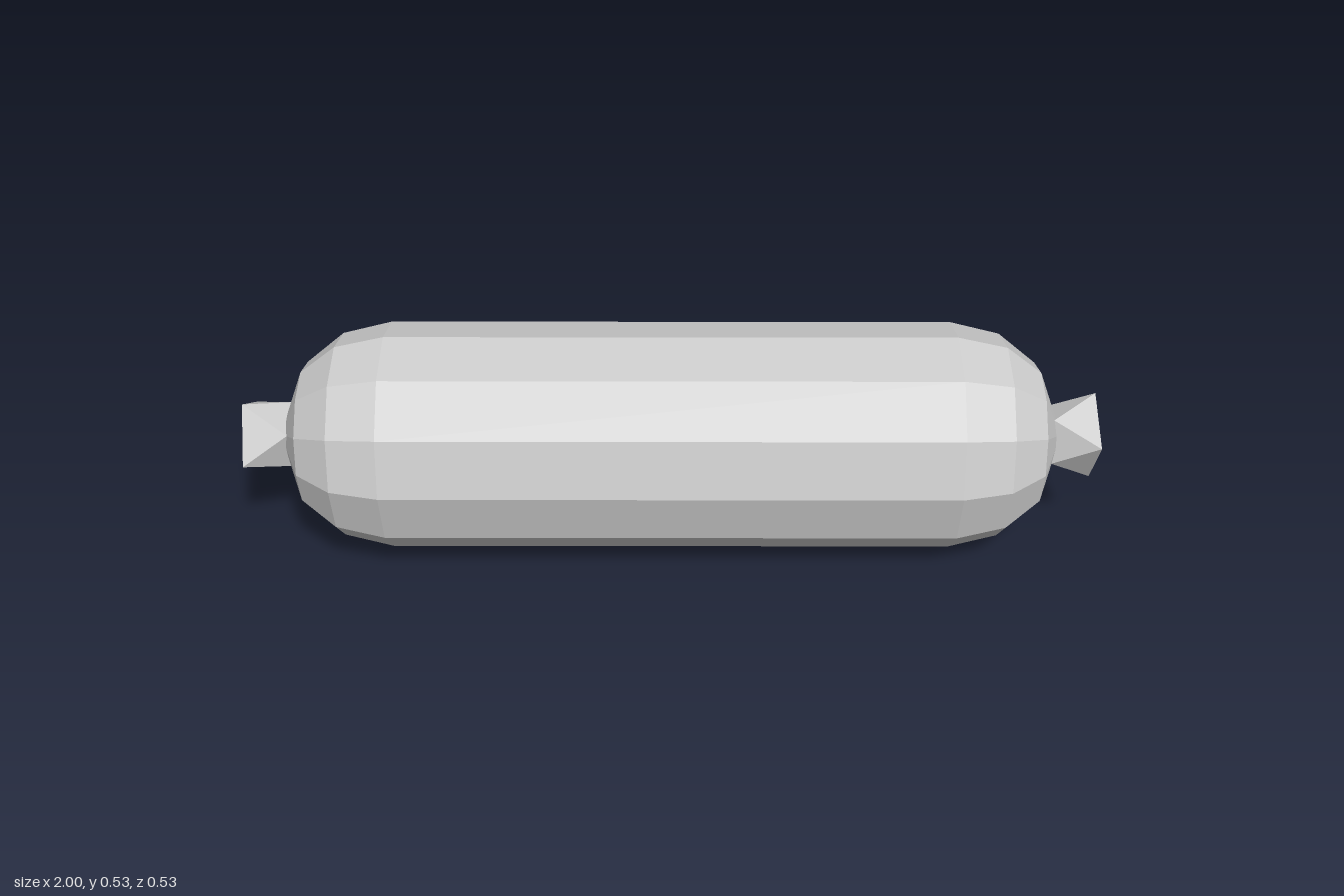
import * as THREE from 'three';

const material = new THREE.MeshStandardMaterial({ color: 0xcccccc, flatShading: true });
const CENTRE_Y = 0.267;

// Twelve-sided sausage body: half profile [distance along x, radius], mirrored
function makeBody() {
  const half = [[0.66, 0.267], [0.775, 0.24], [0.86, 0.172], [0.926, 0]];
  const points = [
    ...half.map(([x, r]) => new THREE.Vector2(r, -x)).reverse(),
    ...half.map(([x, r]) => new THREE.Vector2(r, x)),
  ];
  const body = new THREE.Mesh(new THREE.LatheGeometry(points, 12), material);
  body.rotation.z = -Math.PI / 2;
  body.name = 'sausageBody';
  return body;
}

// Knotted end: a small square neck twisting out to a larger square with a hollow tip
function makeKnot(name) {
  const ring = (x, r, degrees) => {
    const a = THREE.MathUtils.degToRad(degrees);
    return [x, r * Math.sin(a), r * Math.cos(a)];
  };
  const neck = (k) => ring(0.896, 0.076, 60 + 90 * k);
  const rim = (k) => ring(1, 0.104, 15 + 90 * k);
  const hollow = [0.935, 0, 0];

  const positions = [];
  for (let k = 0; k < 4; k++) {
    positions.push(...rim(k), ...rim(k + 1), ...neck(k));
    positions.push(...neck(k), ...rim(k + 1), ...neck(k + 1));
    positions.push(...rim(k + 1), ...rim(k), ...hollow);
  }
  const geometry = new THREE.BufferGeometry();
  geometry.setAttribute('position', new THREE.Float32BufferAttribute(positions, 3));
  geometry.computeVertexNormals();
  const knot = new THREE.Mesh(geometry, material);
  knot.name = name;
  return knot;
}

export function createModel() {
  const model = new THREE.Group();
  model.name = 'sausage';

  const leftKnot = makeKnot('leftKnot');
  const rightKnot = makeKnot('rightKnot');
  rightKnot.rotation.y = Math.PI;

  model.add(makeBody(), leftKnot, rightKnot);
  model.children.forEach((part) => { part.position.y = CENTRE_Y; });
  return model;
}
